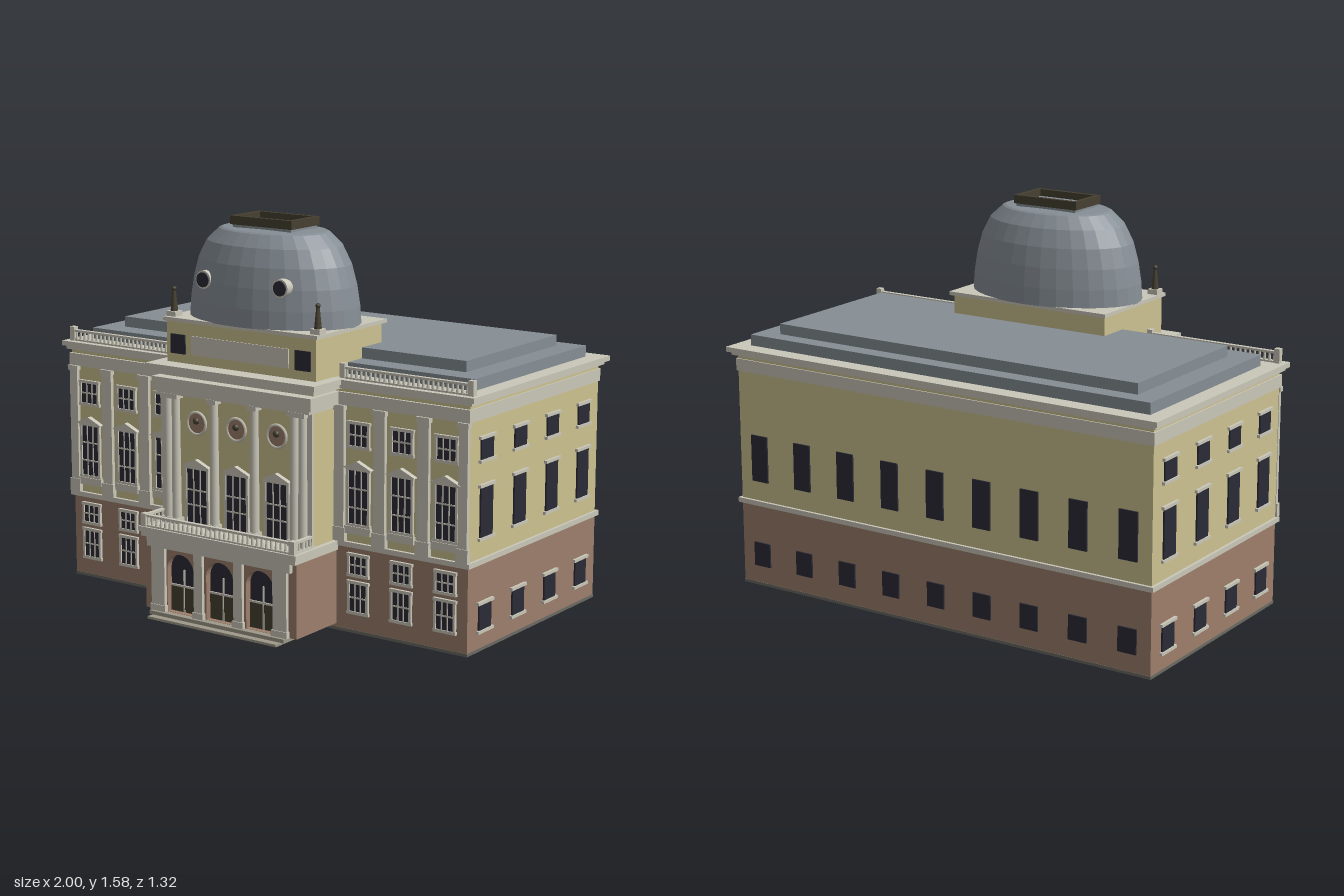
import * as THREE from 'three';

export function createModel() {
  const root = new THREE.Group();
  root.name = 'palace';
  const mat = (name, color, extra = {}) => {
    const m = new THREE.MeshStandardMaterial({ color, ...extra });
    m.name = name;
    return m;
  };
  const plaster = mat('yellow plaster', 0xcdc291);
  const stone = mat('pale stone', 0xcac7b9);
  const brick = mat('red brown masonry', 0x9e7f6c);
  const roof = mat('slate roof', 0x868e95);
  roof.flatShading = true;
  const glass = mat('dark glass', 0x2b2b36);
  const wood = mat('dark wood', 0x464030);
  const step = mat('step stone', 0x9f998a);
  const base = mat('base stone', 0x6b6962);

  const add = (parent, name, geo, m, x = 0, y = 0, z = 0) => {
    const mesh = new THREE.Mesh(geo, m);
    mesh.name = name;
    mesh.position.set(x, y, z);
    parent.add(mesh);
    return mesh;
  };
  // box given by its limits
  const box = (p, name, m, x0, x1, y0, y1, z0, z1) =>
    add(p, name, new THREE.BoxGeometry(x1 - x0, y1 - y0, z1 - z0), m,
      (x0 + x1) / 2, (y0 + y1) / 2, (z0 + z1) / 2);
  const group = (name, x = 0, y = 0, z = 0, ry = 0) => {
    const g = new THREE.Group();
    g.name = name;
    g.position.set(x, y, z);
    g.rotation.y = ry;
    root.add(g);
    return g;
  };

  // main block
  box(root, 'base', base, -0.97, 0.97, 0, 0.012, -0.63, 0.34);
  box(root, 'groundFloor', brick, -0.968, 0.968, 0.012, 0.345, -0.628, 0.338);
  box(root, 'stringCourse', stone, -0.98, 0.98, 0.345, 0.365, -0.64, 0.352);
  box(root, 'upperFloors', plaster, -0.968, 0.968, 0.365, 0.976, -0.628, 0.338);
  box(root, 'frieze', stone, -0.974, 0.974, 0.9, 0.95, -0.634, 0.35);
  box(root, 'corniceLower', stone, -0.985, 0.985, 0.966, 0.98, -0.648, 0.355);
  box(root, 'cornice', stone, -1, 1, 0.98, 1, -0.664, 0.365);
  box(root, 'roofLower', roof, -0.93, 0.93, 1, 1.045, -0.59, 0.25);
  box(root, 'roofUpper', roof, -0.835, 0.835, 1.045, 1.088, -0.52, 0.155);

  // window on a wall facing local +z, standing at u
  const pediment = (p, u, y, w, h, z, d) => {
    const s = new THREE.Shape([new THREE.Vector2(-w / 2, 0), new THREE.Vector2(w / 2, 0), new THREE.Vector2(0, h)]);
    add(p, 'windowPediment', new THREE.ExtrudeGeometry(s, { depth: d, bevelEnabled: false }), stone, u, y, z);
  };
  const pane = (p, u, y0, y1, w) => box(p, 'windowGlass', glass, u - w / 2, u + w / 2, y0, y1, 0, 0.007);
  const lintels = (p, u, y0, y1, w) => {
    box(p, 'windowSill', stone, u - w / 2 - 0.012, u + w / 2 + 0.012, y0 - 0.012, y0, 0, 0.012);
    box(p, 'windowLintel', stone, u - w / 2 - 0.012, u + w / 2 + 0.012, y1, y1 + 0.012, 0, 0.012);
  };
  const bars = (p, u, y0, y1, w, cols, rows) => {
    for (let i = 1; i < cols; i++) {
      const x = u - w / 2 + (w * i) / cols;
      box(p, 'windowBar', stone, x - 0.0025, x + 0.0025, y0, y1, 0, 0.01);
    }
    for (const t of rows) {
      const y = y0 + (y1 - y0) * t;
      box(p, 'windowBar', stone, u - w / 2, u + w / 2, y - 0.003, y + 0.003, 0, 0.01);
    }
  };
  const jambs = (p, u, y0, y1, w) => {
    for (const s of [-1, 1]) {
      const x = u + s * (w / 2 + 0.004);
      box(p, 'windowJamb', stone, x - 0.005, x + 0.005, y0, y1, 0, 0.012);
    }
  };

  // side walls
  for (const s of [-1, 1]) {
    const g = group(s > 0 ? 'leftWindows' : 'rightWindows', s * 0.968, 0, 0, s * Math.PI / 2);
    for (const z of [0.22, -0.023, -0.266, -0.51])
      for (const [a, b] of [[0.085, 0.185], [0.447, 0.64], [0.747, 0.825]]) {
        pane(g, -s * z, a, b, 0.086);
        lintels(g, -s * z, a, b, 0.086);
      }
  }

  // rear wall
  const rear = group('rearWindows', 0, 0, -0.628, Math.PI);
  for (let i = -4; i <= 4; i++)
    for (const [a, b] of [[0.085, 0.185], [0.447, 0.64]]) pane(rear, i * 0.217, a, b, 0.08);

  // front wings
  const front = group('frontWings', 0, 0, 0.338);
  for (const s of [-1, 1]) {
    for (const c of [0.872, 0.674, 0.476]) {
      const u = s * c;
      for (const [a, b, w, rows] of [[0.09, 0.2, 0.078, [0.5]], [0.24, 0.31, 0.078, [0.5]],
        [0.747, 0.83, 0.084, [0.5]], [0.44, 0.65, 0.088, [0.3, 0.66]]]) {
        pane(front, u, a, b, w);
        bars(front, u, a, b, w, 3, rows);
        lintels(front, u, a, b, w);
        jambs(front, u, a, b, w);
      }
      pediment(front, u, 0.66, 0.135, 0.03, 0, 0.022);
      box(front, 'windowApron', stone, u - 0.06, u + 0.06, 0.4, 0.43, 0, 0.016);
    }
    for (const [c, w] of [[0.95, 0.04], [0.773, 0.05], [0.576, 0.05], [0.39, 0.045]]) {
      box(front, 'pilaster', stone, s * c - w / 2, s * c + w / 2, 0.365, 0.9, 0, 0.016);
      box(front, 'pilasterBase', stone, s * c - w / 2 - 0.006, s * c + w / 2 + 0.006, 0.365, 0.42, 0, 0.02);
      box(front, 'pilasterCapital', stone, s * c - w / 2 - 0.005, s * c + w / 2 + 0.005, 0.88, 0.9, 0, 0.022);
    }
  }

  // balustrade running along local x
  const balustrade = (g, x0, x1, h, n) => {
    box(g, 'rail', stone, x0, x1, h - 0.009, h, -0.009, 0.009);
    box(g, 'railFoot', stone, x0, x1, 0, 0.007, -0.009, 0.009);
    for (let i = 0; i < n; i++)
      add(g, 'baluster', new THREE.CylinderGeometry(0.004, 0.006, h - 0.014, 6), stone,
        x0 + (x1 - x0) * (i + 0.5) / n, h / 2, 0);
  };
  for (const s of [-1, 1]) {
    const g = group('roofBalustrade', s * 0.68, 1, 0.328);
    balustrade(g, -0.28, 0.28, 0.046, 26);
    for (const x of [-0.285, 0.29]) box(g, 'railPost', stone, x - 0.012, x + 0.012, 0, 0.058, -0.012, 0.012);
  }

  // entrance porch: steps, arched wall, pilasters
  const bays = [-0.195, 0, 0.195];
  box(root, 'lowerStep', step, -0.315, 0.315, 0, 0.01, 0.46, 0.66);
  box(root, 'upperStep', step, -0.33, 0.33, 0.01, 0.025, 0.46, 0.63);
  box(root, 'porchBody', brick, -0.37, 0.37, 0.025, 0.325, 0.338, 0.565);
  const wall = new THREE.Shape([[-0.37, 0.025], [0.37, 0.025], [0.37, 0.325], [-0.37, 0.325]]
    .map(([x, y]) => new THREE.Vector2(x, y)));
  for (const x of bays) {
    const hole = new THREE.Path();
    hole.moveTo(x - 0.066, 0.026);
    hole.lineTo(x - 0.066, 0.2);
    hole.absarc(x, 0.2, 0.066, Math.PI, 0, true);
    hole.lineTo(x + 0.066, 0.026);
    hole.closePath();
    wall.holes.push(hole);
    box(root, 'doorGlass', glass, x - 0.07, x + 0.07, 0.135, 0.275, 0.565, 0.573);
    box(root, 'door', wood, x - 0.07, x + 0.07, 0.025, 0.13, 0.565, 0.576);
    box(root, 'doorTransom', stone, x - 0.07, x + 0.07, 0.128, 0.136, 0.565, 0.579);
    box(root, 'doorMullion', stone, x - 0.003, x + 0.003, 0.025, 0.2, 0.565, 0.579);
  }
  add(root, 'porchArches', new THREE.ExtrudeGeometry(wall, { depth: 0.035, bevelEnabled: false, curveSegments: 16 }),
    brick, 0, 0, 0.565);
  for (const [x, w] of [[-0.298, 0.066], [-0.0975, 0.042], [0.0975, 0.042], [0.298, 0.066]]) {
    box(root, 'porchPilaster', stone, x - w / 2, x + w / 2, 0.025, 0.3, 0.6, 0.614);
    box(root, 'porchPilasterBase', stone, x - w / 2 - 0.005, x + w / 2 + 0.005, 0.025, 0.05, 0.6, 0.618);
  }
  box(root, 'porchFrieze', stone, -0.35, 0.35, 0.285, 0.325, 0.6, 0.617);
  box(root, 'balconySlabLower', stone, -0.376, 0.376, 0.322, 0.342, 0.338, 0.62);
  box(root, 'balconySlab', stone, -0.385, 0.385, 0.342, 0.362, 0.338, 0.628);
  balustrade(group('balconyRailFront', 0, 0.362, 0.61), -0.36, 0.36, 0.048, 32);
  for (const s of [-1, 1]) {
    balustrade(group('balconyRailSide', s * 0.362, 0.362, 0.55, Math.PI / 2), -0.06, 0.06, 0.048, 5);
    box(root, 'balconyPost', stone, s * 0.362 - 0.013, s * 0.362 + 0.013, 0.362, 0.414, 0.597, 0.623);
  }

  // central bay
  box(root, 'centralBay', plaster, -0.365, 0.365, 0.362, 0.976, 0.3, 0.482);
  box(root, 'centralFrieze', stone, -0.385, 0.385, 0.9, 0.95, 0.34, 0.53);
  box(root, 'centralArchitrave', stone, -0.37, 0.37, 0.885, 0.9, 0.34, 0.52);
  box(root, 'centralCorniceLower', stone, -0.395, 0.395, 0.962, 0.98, 0.34, 0.525);
  box(root, 'centralCornice', stone, -0.408, 0.408, 0.98, 1.002, 0.34, 0.542);
  const bay = group('centralWindows', 0, 0, 0.482);
  for (const u of bays) {
    pane(bay, u, 0.365, 0.59, 0.1);
    bars(bay, u, 0.365, 0.59, 0.1, 3, [0.35, 0.62]);
    jambs(bay, u, 0.365, 0.59, 0.1);
    box(bay, 'windowLintel', stone, u - 0.062, u + 0.062, 0.59, 0.603, 0, 0.014);
    pediment(bay, u, 0.603, 0.13, 0.028, 0, 0.02);
    // medallion with a small bust
    const disc = (name, r, d, m) => {
      add(bay, name, new THREE.CylinderGeometry(r, r, d, 24).rotateX(Math.PI / 2), m, u, 0.775, d / 2);
    };
    disc('medallion', 0.043, 0.006, brick);
    add(bay, 'medallionRing', new THREE.TorusGeometry(0.044, 0.006, 6, 24), stone, u, 0.775, 0.004);
    add(bay, 'bust', new THREE.SphereGeometry(0.014, 10, 8), wood, u, 0.785, 0.008);
  }
  for (const s of [-1, 1]) {
    box(root, 'cornerPilaster', stone, s * 0.349 - 0.017, s * 0.349 + 0.017, 0.362, 0.89, 0.482, 0.496);
    for (const c of [0.098, 0.288, 0.328]) {
      const x = s * c;
      add(root, 'column', new THREE.CylinderGeometry(0.016, 0.019, 0.5, 14), stone, x, 0.632, 0.501);
      box(root, 'columnBase', stone, x - 0.021, x + 0.021, 0.362, 0.385, 0.482, 0.522);
      box(root, 'columnCapital', stone, x - 0.021, x + 0.021, 0.868, 0.887, 0.482, 0.522);
    }
  }

  // attic under the dome
  box(root, 'attic', plaster, -0.36, 0.36, 1, 1.165, 0.02, 0.462);
  box(root, 'atticSlab', stone, -0.372, 0.372, 1.165, 1.18, 0.002, 0.47);
  box(root, 'atticPanel', stone, -0.235, 0.235, 1.04, 1.115, 0.462, 0.467);
  for (const s of [-1, 1]) {
    box(root, 'atticWindow', glass, s * 0.302 - 0.036, s * 0.302 + 0.036, 1.038, 1.115, 0.462, 0.468);
    // corner ornament
    box(root, 'ornamentPlinth', stone, s * 0.347 - 0.022, s * 0.347 + 0.022, 1.18, 1.2, 0.408, 0.452);
    add(root, 'ornament', new THREE.CylinderGeometry(0.007, 0.015, 0.08, 8), wood, s * 0.347, 1.24, 0.43);
    add(root, 'ornamentTip', new THREE.SphereGeometry(0.01, 8, 6), wood, s * 0.347, 1.288, 0.43);
  }

  // oval dome
  const profile = [[1, 1.178], [0.985, 1.25], [0.95, 1.33], [0.89, 1.41], [0.79, 1.48], [0.645, 1.528], [0.61, 1.533], [0, 1.54]]
    .map(([r, y]) => new THREE.Vector2(r, y));
  add(root, 'dome', new THREE.LatheGeometry(profile, 32).scale(0.375, 1, 0.25), roof, 0, 0, 0.235);
  for (const s of [-1, 1]) {
    const x = s * 0.185;
    add(root, 'domeWindowDrum', new THREE.CylinderGeometry(0.036, 0.036, 0.05, 20).rotateX(Math.PI / 2), stone, x, 1.34, 0.427);
    add(root, 'domeWindowGlass', new THREE.CylinderGeometry(0.029, 0.029, 0.006, 20).rotateX(Math.PI / 2), glass, x, 1.34, 0.454);
  }

  // open frame on the dome
  box(root, 'crownPlinth', roof, -0.14, 0.14, 1.53, 1.552, 0.148, 0.318);
  for (const s of [-1, 1]) {
    box(root, 'crownFrameSide', wood, s * 0.138 - 0.01, s * 0.138 + 0.01, 1.546, 1.58, 0.141, 0.325);
    const z = 0.233 + s * 0.083;
    box(root, 'crownFrameEnd', wood, -0.13, 0.13, 1.546, 1.58, z - 0.009, z + 0.009);
  }
  return root;
}
